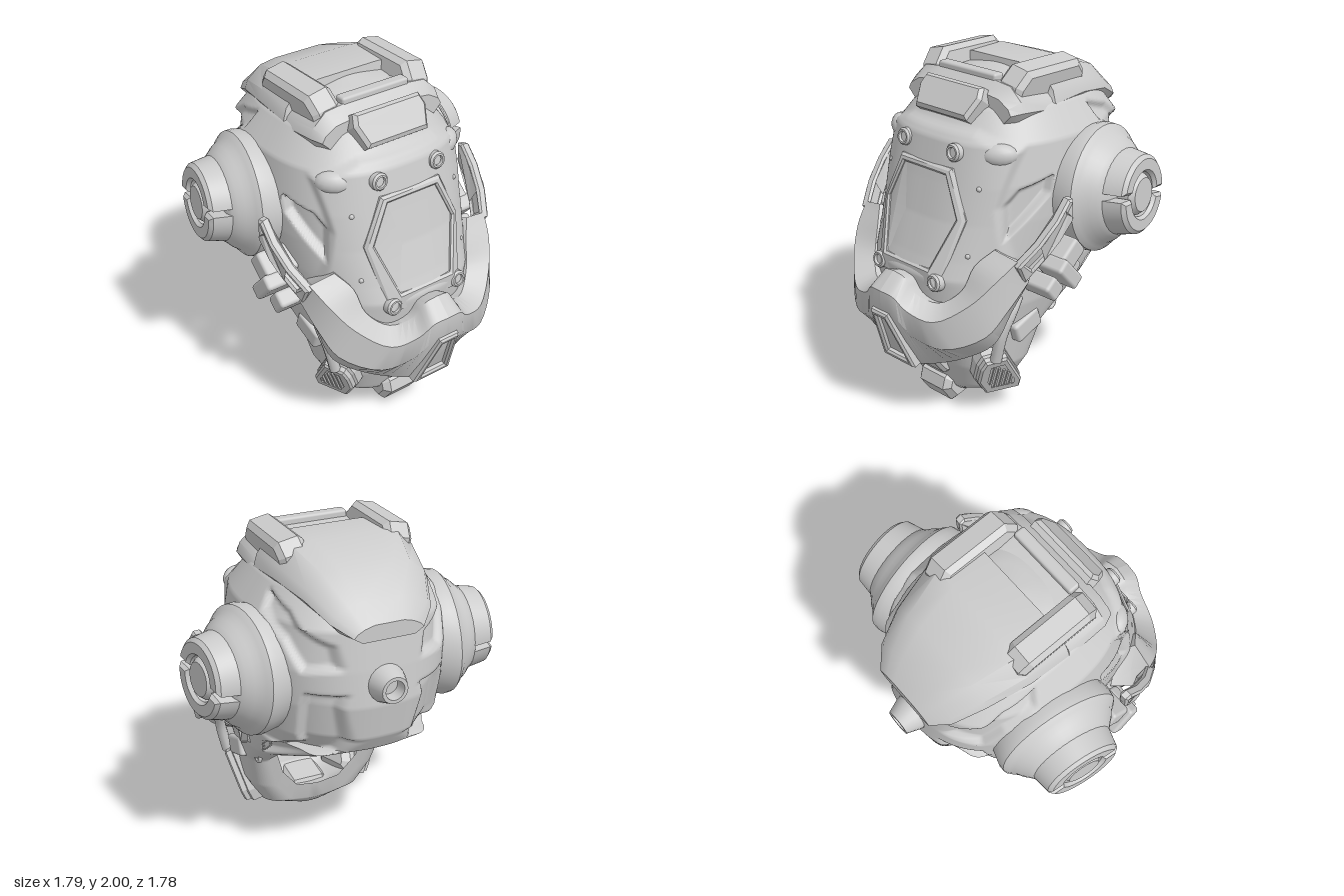
import * as THREE from 'three';
import { toCreasedNormals } from 'three/addons/utils/BufferGeometryUtils.js';
import { RoundedBoxGeometry } from 'three/addons/geometries/RoundedBoxGeometry.js';

const V = (x, y, z) => new THREE.Vector3(x, y, z);
const mat = new THREE.MeshStandardMaterial({ color: 0xcccccc, side: THREE.DoubleSide });

// Head slices: y, front z, widest z, half width, end x (0 = closed back), end z
const slices = [
  [1.94, -.1, -.15, .02, 0, -.2], [1.9, .12, -.15, .25, 0, -.4], [1.78, .33, -.15, .43, 0, -.64],
  [1.62, .45, -.15, .54, 0, -.76], [1.4, .5, -.15, .57, 0, -.79], [1.2, .55, -.12, .56, 0, -.81],
  [1.0, .62, -.1, .54, 0, -.78], [.9, .66, -.05, .52, 0, -.72], [.88, .66, -.05, .52, .24, -.66],
  [.7, .64, .02, .5, .38, -.25], [.52, .6, .12, .45, .35, 0], [.3, .52, .2, .41, .28, .05],
  [.15, .46, .24, .33, .16, .08], [.12, .45, .25, .28, 0, .09], [.06, .4, .28, .14, 0, .15], [.05, .3, .28, .01, 0, .25],
];
const E = .75;
function sliceAt(y) {
  let i = 0;
  while (i < slices.length - 2 && slices[i + 1][0] > y) i++;
  const a = slices[i], b = slices[i + 1], k = THREE.MathUtils.clamp((a[0] - y) / (a[0] - b[0]), 0, 1);
  return a.map((v, j) => v + (b[j] - v) * k);
}
// Point on the head; t runs -1..1 round from the back over the front to the back
function headPoint(y, t) {
  const [, zf, zm, w, xe, ze] = sliceAt(y), s = Math.sign(t), a = Math.abs(t) * Math.PI;
  const p = (v, e) => Math.pow(Math.max(v, 0), e);
  if (a <= Math.PI / 2) return V(s * w * p(Math.sin(a), E), y, zm + (zf - zm) * p(Math.cos(a), E));
  const b = a - Math.PI / 2;
  return V(s * (xe + (w - xe) * p(Math.cos(b), .85)), y, zm + (ze - zm) * p(Math.sin(b), .85));
}
function frontZ(x, y) {
  const [, zf, zm, w] = sliceAt(y);
  return zm + (zf - zm) * Math.pow(Math.max(0, 1 - Math.pow(Math.abs(x) / w, 2 / E)), E / 2);
}

// Raised and sunken panels: outlines in (z, y) from the side or (x, y) from the front
const panels = [
  { front: true, h: .03, pts: [[-.1, 1.68], [.25, 1.68], [.47, 1.6], [.43, 1.3], [.48, 1.0], [.3, .7], [-.1, .7]] },
  { h: -.06, pts: [[.37, 1.12], [.36, 1.3], [.29, 1.38], [.1, 1.43], [.12, 1.34]] },
  { h: -.055, pts: [[-.24, .74], [-.28, .82], [-.58, .95], [-.65, 1.27], [-.77, 1.27], [-.75, .98], [-.68, .9]] },
  { h: -.045, pts: [[-.3, 1.74], [-.5, 1.68], [-.72, 1.54], [-.75, 1.42], [-.64, 1.4], [-.53, 1.54], [-.34, 1.65]] },
];
function signedDistance(x, y, pts) {
  let d = Infinity, inside = false;
  pts.forEach(([ax, ay], i) => {
    const [bx, by] = pts[(i + 1) % pts.length], ex = bx - ax, ey = by - ay;
    const k = THREE.MathUtils.clamp(((x - ax) * ex + (y - ay) * ey) / (ex * ex + ey * ey), 0, 1);
    d = Math.min(d, Math.hypot(x - ax - ex * k, y - ay - ey * k));
    if ((ay > y) !== (by > y) && x < ax + ex * (y - ay) / ey) inside = !inside;
  });
  return inside ? d : -d;
}
function detailed(p) {
  let h = 0;
  for (const q of panels) {
    if (q.front && p.z < .1) continue;
    const d = signedDistance(q.front ? Math.abs(p.x) : p.z, p.y, q.pts);
    h += q.h * THREE.MathUtils.smoothstep(d, -.015, .023);
  }
  const n = V(p.x, 0, p.z - sliceAt(p.y)[2]);
  return p.addScaledVector(n.normalize(), h);
}

// Skin over rows of points; each row is a closed loop
function loft(rows, cap = true, crease = .6) {
  const centre = r => r.map(() => r.reduce((s, p) => s.add(p), V(0, 0, 0)).divideScalar(r.length));
  if (cap) rows = [centre(rows[0]), ...rows, centre(rows.at(-1))];
  const n = rows[0].length + 1, idx = [];
  const g = new THREE.BufferGeometry().setFromPoints(rows.flatMap(r => [...r, r[0]]));
  for (let i = 0; i < rows.length - 1; i++) for (let j = 0; j < n - 1; j++) {
    const a = i * n + j;
    idx.push(a, a + n, a + 1, a + 1, a + n, a + n + 1);
  }
  g.setIndex(idx);
  return toCreasedNormals(g, crease);
}
const shapeOf = (pts, hole) => {
  const s = new THREE.Shape(pts.map(p => new THREE.Vector2(...p)));
  if (hole) s.holes.push(new THREE.Path(hole.map(p => new THREE.Vector2(...p))));
  return s;
};
const extrude = (shape, depth, bevel = .012) => new THREE.ExtrudeGeometry(shape,
  { depth, bevelEnabled: bevel > 0, bevelSize: bevel, bevelThickness: bevel, bevelOffset: -bevel, bevelSegments: 1, curveSegments: 16 });
// Side profile in (z, y), running from x0 to x1
const sideExtrude = (pts, x0, x1, bevel = .02) =>
  extrude(shapeOf(pts), x1 - x0 - 2 * bevel, bevel).rotateY(-Math.PI / 2).translate(x1 - bevel, 0, 0);
// Put a geometry at pos with its x and y axes along the given directions
function place(g, pos, xd, yd) {
  const x = xd.clone().normalize(), z = x.clone().cross(yd).normalize(), y = z.clone().cross(x);
  return g.applyMatrix4(new THREE.Matrix4().makeBasis(x, y, z).setPosition(pos));
}
const lathe = (pts, seg = 32, crease = .4) =>
  toCreasedNormals(new THREE.LatheGeometry(pts.map(p => new THREE.Vector2(...p)), seg), crease);
// Move each vertex of a geometry by a rule
function warp(g, rule) {
  const p = g.attributes.position, v = V(0, 0, 0);
  for (let i = 0; i < p.count; i++) {
    rule(v.fromBufferAttribute(p, i));
    p.setXYZ(i, v.x, v.y, v.z);
  }
  return toCreasedNormals(g, .45);
}
function mirror(g) {
  const m = (g.index ? g.toNonIndexed() : g.clone()).scale(-1, 1, 1);
  for (const { array: a, itemSize: s } of Object.values(m.attributes))
    for (let i = 0; i < a.length; i += 3 * s) for (let k = 0; k < s; k++)
      [a[i + s + k], a[i + 2 * s + k]] = [a[i + 2 * s + k], a[i + s + k]];
  return m;
}

export function createModel() {
  const root = new THREE.Group();
  const add = (name, g) => { const m = new THREE.Mesh(g, mat); m.name = name; root.add(m); };
  const pair = (name, g) => { add(name + 'Left', g); add(name + 'Right', mirror(g)); };

  // Head shell with inner lining, open at the neck
  const rows = [];
  slices.slice(0, -1).forEach((s, i) => {
    const next = slices[i + 1][0], n = Math.ceil((s[0] - next) / .014);
    for (let k = 0; k < n; k++) rows.push(s[0] + (next - s[0]) * k / n);
  });
  rows.push(.05);
  const c = V(0, 1, -.08);
  add('headShell', loft(rows.map(y => {
    const r = [];
    for (let j = -140; j <= 140; j++) r.push(detailed(headPoint(y, j / 140)));
    for (let j = 20; j >= -20; j--) r.push(headPoint(y, j / 20).sub(c).multiplyScalar(.87).add(c));
    return r;
  }), false, 1.1));

  // Crown plate: z, half width, top half width, bottom y, top y
  add('crownPlate', loft([[.27, .4, .31, 1.72, 1.86], [.2, .43, .33, 1.7, 1.92], [-.04, .43, .33, 1.68, 1.89],
    [-.05, .43, .33, 1.68, 1.96], [-.3, .42, .31, 1.7, 1.97], [-.55, .36, .25, 1.68, 1.89],
    [-.72, .29, .19, 1.62, 1.77], [-.81, .2, .14, 1.58, 1.67]].map(([z, w, t, b, y]) => {
    const half = [[w - .05, b], [w, b + (y - b) * .35], [w - .02, b + (y - b) * .6], [t, y - .015], [t * .6, y]];
    return [...half.map(p => V(p[0], p[1], z)), ...half.reverse().map(p => V(-p[0], p[1], z))];
  })));
  pair('crownRail', sideExtrude([[.22, 1.78], [.19, 1.92], [.12, 2.0], [-.28, 2.0], [-.34, 1.93], [-.34, 1.78]], .22, .39, .03)
    .translate(-.305, -1.9, 0).rotateZ(-.2).translate(.305, 1.892, 0));
  add('crownLip', new RoundedBoxGeometry(.44, .09, .07, 2, .015).translate(0, 1.905, .17));
  add('browPlate', extrude(shapeOf([[-.22, .1], [.22, .1], [.24, .03], [.2, -.1], [-.2, -.1], [-.24, .03]]), .1, .02)
    .rotateX(-.62).translate(0, 1.755, .26));

  // Window frame and lens, bent onto the face
  const hex = (a, b, d, top, bot) => [[-a, top], [-b, 1.23], [-d, bot], [d, bot], [b, 1.23], [a, top]];
  const bend = (g, lift) => warp(g, v => { v.z += frontZ(v.x, v.y) + lift; });
  add('windowFrame', bend(extrude(shapeOf(hex(.2, .32, .24, 1.49, .84), hex(.165, .27, .175, 1.45, .95)), .05, .012), -.008));
  add('windowLens', bend(extrude(shapeOf(hex(.175, .28, .185, 1.46, .94)), .02, 0), .013));

  // Face bolts, pin holes and temple lights
  [[.195, 1.57], [.225, .88]].forEach(([x, y]) => {
    pair('faceBolt', lathe([[.05, 0], [.05, .05], [.04, .062], [.03, .062], [.028, .045], [0, .045]], 16)
      .rotateX(Math.PI / 2 - .15).translate(x, y, frontZ(x, y)));
  });
  [[.35, 1.4], [.35, 1.04]].forEach(([x, y]) => pair('facePin', new THREE.SphereGeometry(.016, 10, 8).translate(x, y, frontZ(x, y) + .027)));
  pair('templeLight', place(new THREE.SphereGeometry(1, 16, 10).scale(.1, .065, .06), V(.39, 1.57, .34), V(.7, .05, -.6), V(0, 1, .2)));

  // Mask collar: bottom, lower outer, upper outer and top points of each section
  const collar = [
    [[0, .36, .72], [0, .72, .87], [0, .83, .87], [0, .92, .77]],
    [[.1, .36, .71], [.1, .7, .86], [.09, .82, .86], [.08, .9, .76]],
    [[.2, .38, .67], [.19, .6, .81], [.17, .75, .83], [.14, .82, .74]],
    [[.37, .45, .6], [.36, .56, .75], [.32, .72, .78], [.26, .78, .68]],
    [[.53, .57, .52], [.55, .65, .61], [.48, .83, .66], [.36, .86, .6]],
    [[.58, .75, .44], [.61, .79, .5], [.57, .96, .55], [.4, 1.0, .54]],
    [[.6, .9, .33], [.64, .93, .37], [.62, 1.06, .44], [.47, 1.09, .46]]];
  const strands = [0, 1, 2, 3].map(k => new THREE.CatmullRomCurve3(collar.map(s => V(...s[k]))));
  pair('maskCollar', loft(Array.from({ length: 25 }, (_, i) => {
    const r = strands.map(s => s.getPoint(i / 24));
    return [...r, V(r[3].x * .9, r[3].y - .03, r[3].z - .09), V(r[0].x * .88, r[0].y + .03, r[0].z - .1)];
  }), true, .75));
  const nose = (a, b, h) => [[-a, h], [-b, -h], [b, -h], [a, h]];
  add('noseFrame', extrude(shapeOf(nose(.065, .13, .19), nose(.035, .085, .15)), .05).rotateX(.38).translate(0, .55, .765));
  add('nosePanel', extrude(shapeOf(nose(.045, .1, .16)), .03, 0).rotateX(.38).translate(0, .55, .765));

  // Chin unit and the guard block above it
  add('chinUnit', sideExtrude([[.51, .1], [.49, .17], [.4, .23], [.2, .2], [.15, .07], [.4, .01], [.44, .005]], -.13, .13, .035));
  add('chinGuard', sideExtrude([[.66, .4], [.6, .33], [.52, .23], [.4, .22], [.4, .4]], -.14, .14, .02));

  // Cheek vents
  const podX = V(.36, 0, -.93), podY = V(.38, .92, .15), podAt = V(.43, .27, .36);
  const pod = [[-.14, .08], [-.12, .14], [.01, .15], [.14, -.08], [.14, -.15], [-.07, -.15], [-.14, -.03]];
  const shrink = k => pod.map(([x, y]) => [x * k, y * k]);
  pair('ventBody', place(extrude(shapeOf(shrink(1.08)), .17, .04).translate(0, 0, -.22), podAt, podX, podY));
  pair('ventFrame', place(extrude(shapeOf(shrink(1), shrink(.74)), .04).translate(0, 0, -.05), podAt, podX, podY));
  for (let i = 0; i < 6; i++) pair('ventSlat', place(new THREE.BoxGeometry(.012, .2 - .012 * i, .03)
    .translate(-.085 + i * .031, .005 - i * .014, -.015), podAt, podX, podY));

  // Slotted cheek fins
  const bow = g => place(warp(g, v => { v.z += .035 * Math.sin(Math.PI * THREE.MathUtils.clamp(v.x / .48, 0, 1)); }),
    V(.6, 1.0, .41), V(.08, .34, -.3), V(0, .64, .77));
  pair('cheekFin', bow(extrude(shapeOf([[-.04, -.06], [.12, -.058], [.25, -.056], [.38, -.055], [.47, .02], [.45, .055], [.32, .057], [.16, .06], [0, .06]],
    [[.04, -.03], [.04, .035], [.2, .035], [.38, .033], [.38, -.028], [.2, -.03]]), .035)));
  pair('finBacking', bow(new THREE.BoxGeometry(.39, .08, .012, 8).translate(.21, 0, .008)));

  // Strap clips, jaw pads, hose and jaw socket on each side
  const box = (name, w, h, d, x, y, z, tilt) =>
    pair(name, new RoundedBoxGeometry(w, h, d, 2, .02).rotateX(tilt).translate(x, y, z));
  box('strapClip', .22, .12, .16, .61, 1.02, .1, .7);
  box('clipBuckle', .2, .2, .09, .65, .93, .15, .75);
  box('lowerClip', .22, .12, .1, .59, .85, .22, .7);
  box('clipLink', .14, .16, .08, .58, .93, .03, .75);
  box('jawPad', .1, .12, .2, .44, .55, .2, .35);
  pair('jawFrame', extrude(shapeOf([[-.09, -.08], [.06, -.08], [.09, -.03], [.09, .08], [-.06, .08], [-.09, .03]],
    [[-.055, -.05], [.05, -.05], [.055, .05], [-.05, .05]]), .06).rotateY(Math.PI / 2).rotateX(.5).translate(.44, .77, -.01));
  pair('cheekHose', new THREE.TubeGeometry(new THREE.CatmullRomCurve3(
    [V(.5, .78, .31), V(.51, .7, .37), V(.49, .58, .42), V(.45, .4, .43)]), 16, .033, 8));
  pair('jawSocket', new THREE.TorusGeometry(.032, .013, 8, 16).rotateY(Math.PI / 2).translate(.43, .59, -.04));

  // Ear pods: domed disc, tapered split cap ring and knob
  const tilt = new THREE.Quaternion().setFromUnitVectors(V(0, 1, 0), V(.98, .05, -.15).normalize());
  const ear = g => g.applyQuaternion(tilt).translate(.45, 1.28, -.24);
  pair('earDisc', ear(lathe([[.35, .05], [.365, .13], [.36, .17], [.335, .195], [.315, .21], [.295, .24],
    [.265, .27], [.24, .3], [.2, .315], [0, .315]], 36, .6)));
  [0, Math.PI].forEach(a => {
    const s = new THREE.Shape();
    s.absarc(0, 0, .25, a - 1.49, a + 1.49, false);
    s.absarc(0, 0, .14, a + 1.46, a - 1.46, true);
    pair('earCap', ear(warp(extrude(s, .12, .02).rotateX(-Math.PI / 2).translate(0, .28, 0),
      v => { const k = 1 - .8 * (v.y - .26); v.x *= k; v.z *= k; })));
  });
  pair('earKnob', ear(lathe([[.118, .28], [.118, .385], [.095, .415], [.085, .415], [0, .415]], 24)));

  // Rear nozzle
  add('rearNozzle', lathe([[.115, -.04], [.105, .04], [.075, .12], [.055, .12], [.05, .05], [0, .05]], 20)
    .rotateX(-Math.PI / 2).translate(0, 1.32, -.77));
  return root;
}
